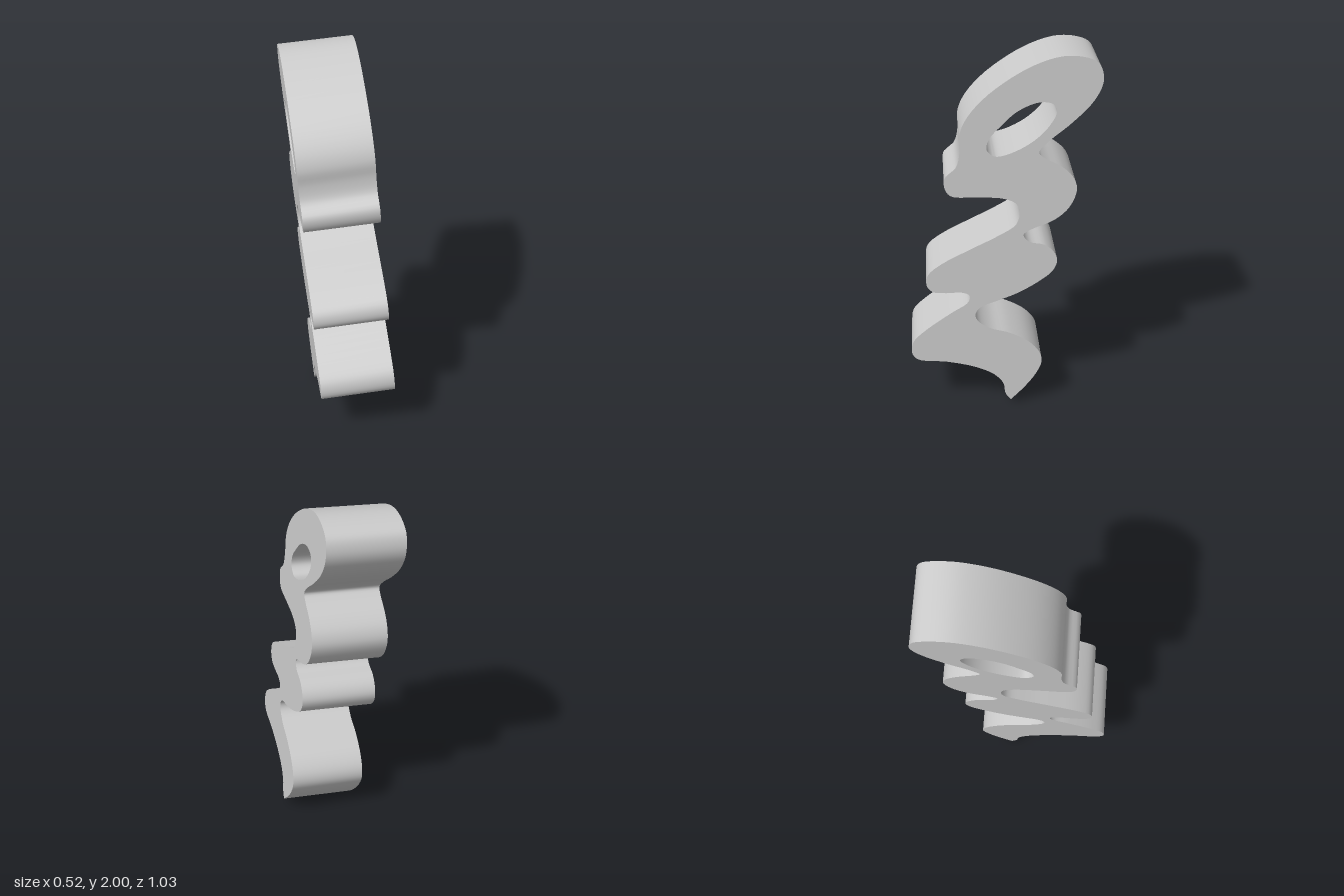
import * as THREE from 'three';
import { toCreasedNormals } from 'three/addons/utils/BufferGeometryUtils.js';

// Profile points as z, y pairs.
// Back edge, from the bottom tip up to the crown
const backEdge = [
  -.03, .027, -.11, .11, -.17, .19, -.2, .26, -.19, .32, -.13, .39, -.02, .45, .08, .48, .15, .53,
  .16, .57, .13, .61, .03, .65, -.07, .69, -.19, .76, -.26, .82, -.28, .88, -.26, .93, -.21, .97,
  -.13, .99, -.1, 1.03, -.14, 1.06, -.26, 1.11, -.34, 1.18, -.38, 1.28, -.36, 1.35, -.3, 1.41,
  -.21, 1.46, -.18, 1.49, -.23, 1.55, -.34, 1.64, -.45, 1.75, -.5, 1.84, -.505, 1.9, -.48, 1.96, -.42, 1.99,
];
// Front edge, from the crown back down to the tip
const frontEdge = [
  -.31, 2, -.19, 1.97, -.05, 1.9, .11, 1.78, .2, 1.67, .23, 1.59, .23, 1.5, .25, 1.42, .31, 1.36,
  .31, 1.3, .28, 1.26, .14, 1.25, .01, 1.24, -.06, 1.21, -.08, 1.16, -.06, 1.09, .03, 1.03, .19, .95,
  .34, .87, .41, .81, .42, .75, .39, .71, .32, .7, .23, .7, .19, .68, .2, .64, .29, .58, .43, .48,
  .5, .41, .51, .34, .48, .3, .32, .28, .16, .24, .06, .19, .01, .13, 0, .07, -.03, .027,
];
// Eye-shaped opening in the upper lobe
const opening = [
  .09, 1.51, .05, 1.475, -.02, 1.485, -.14, 1.545, -.23, 1.63, -.27, 1.71,
  -.25, 1.75, -.18, 1.76, -.07, 1.715, .02, 1.635, .08, 1.565,
];

function smooth(pairs, closed, divisions) {
  const pts = [];
  for (let i = 0; i < pairs.length; i += 2) pts.push(new THREE.Vector3(-pairs[i], pairs[i + 1], 0));
  const out = new THREE.CatmullRomCurve3(pts, closed, 'centripetal').getPoints(divisions);
  return out.slice(0, -1).map((p) => new THREE.Vector2(p.x, p.y));
}

export function createModel() {
  const group = new THREE.Group();
  group.name = 'wavySculpture';

  const shape = new THREE.Shape(smooth([...backEdge, ...frontEdge], false, 280));
  shape.holes.push(new THREE.Path(smooth(opening, true, 66)));
  const geo = new THREE.ExtrudeGeometry(shape, { depth: 1, bevelEnabled: false, steps: 1 });

  // Lay the profile in a leaning plane and sweep it along that plane's normal
  const pos = geo.attributes.position;
  for (let i = 0; i < pos.count; i++) {
    const z = -pos.getX(i), y = pos.getY(i), back = pos.getZ(i) - 1;
    pos.setXYZ(i, 0.263 - 0.066 * y - 0.027 * z + 0.4 * back, y + 0.027 * back, z + 0.011 * back);
  }

  const body = new THREE.Mesh(
    toCreasedNormals(geo, 0.7),
    new THREE.MeshStandardMaterial({ color: 0xcccccc }),
  );
  body.name = 'wavyBody';
  group.add(body);
  return group;
}
